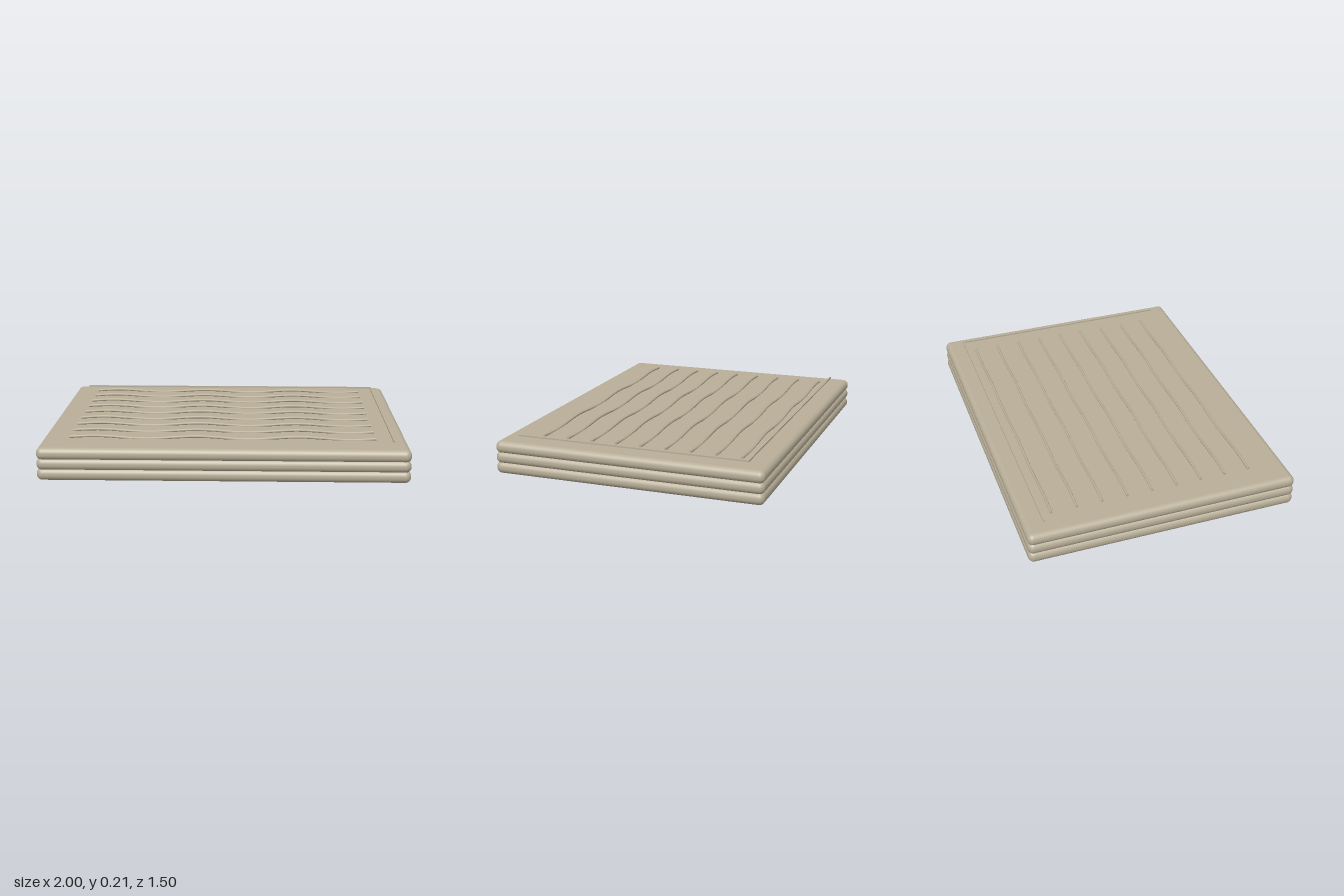
import * as THREE from 'three';
import { RoundedBoxGeometry } from 'three/addons/geometries/RoundedBoxGeometry.js';

export function createModel() {
  const model = new THREE.Group();
  model.name = 'stackedSlab';
  const stone = new THREE.MeshStandardMaterial({ color: 0xb8ae98 });
  stone.name = 'warm stone';

  const add = (name, geometry, x, y, z) => {
    const mesh = new THREE.Mesh(geometry, stone);
    mesh.name = name;
    mesh.position.set(x, y, z);
    model.add(mesh);
  };

  // three overlapping layers with rounded edges
  const height = 0.068, pitch = 0.0565;
  for (let i = 0; i < 3; i++) {
    add(`layer${i + 1}`, new RoundedBoxGeometry(2, height, 1.5, 5, 0.032), 0, height / 2 + i * pitch, 0);
  }

  // nine ripples, each rising and falling three times along its length
  class Ripple extends THREE.Curve {
    getPoint(t, target = new THREE.Vector3()) {
      return target.set(-0.85 + 1.68 * t, 0.007 * Math.sin(t * Math.PI * 6), 0);
    }
  }
  const ripple = new THREE.TubeGeometry(new Ripple(), 72, 0.0075, 8);
  const cap = new THREE.CircleGeometry(0.0075, 8);
  for (let i = 0; i < 9; i++) {
    const z = 0.535 - i * 0.14;
    add(`ripple${i + 1}`, ripple, 0, 0.188, z);
    for (const side of [-1, 1]) {
      add(`rippleEnd${i + 1}`, cap, side < 0 ? -0.85 : 0.83, 0.188, z);
      model.children.at(-1).rotation.y = side * Math.PI / 2;
    }
  }

  // thin border rods along the back and the left edge
  add('backBorder', new THREE.BoxGeometry(1.84, 0.008, 0.009), 0, 0.203, -0.643);
  add('sideBorder', new THREE.BoxGeometry(0.009, 0.008, 1.28), 0.9155, 0.203, 0);

  return model;
}
